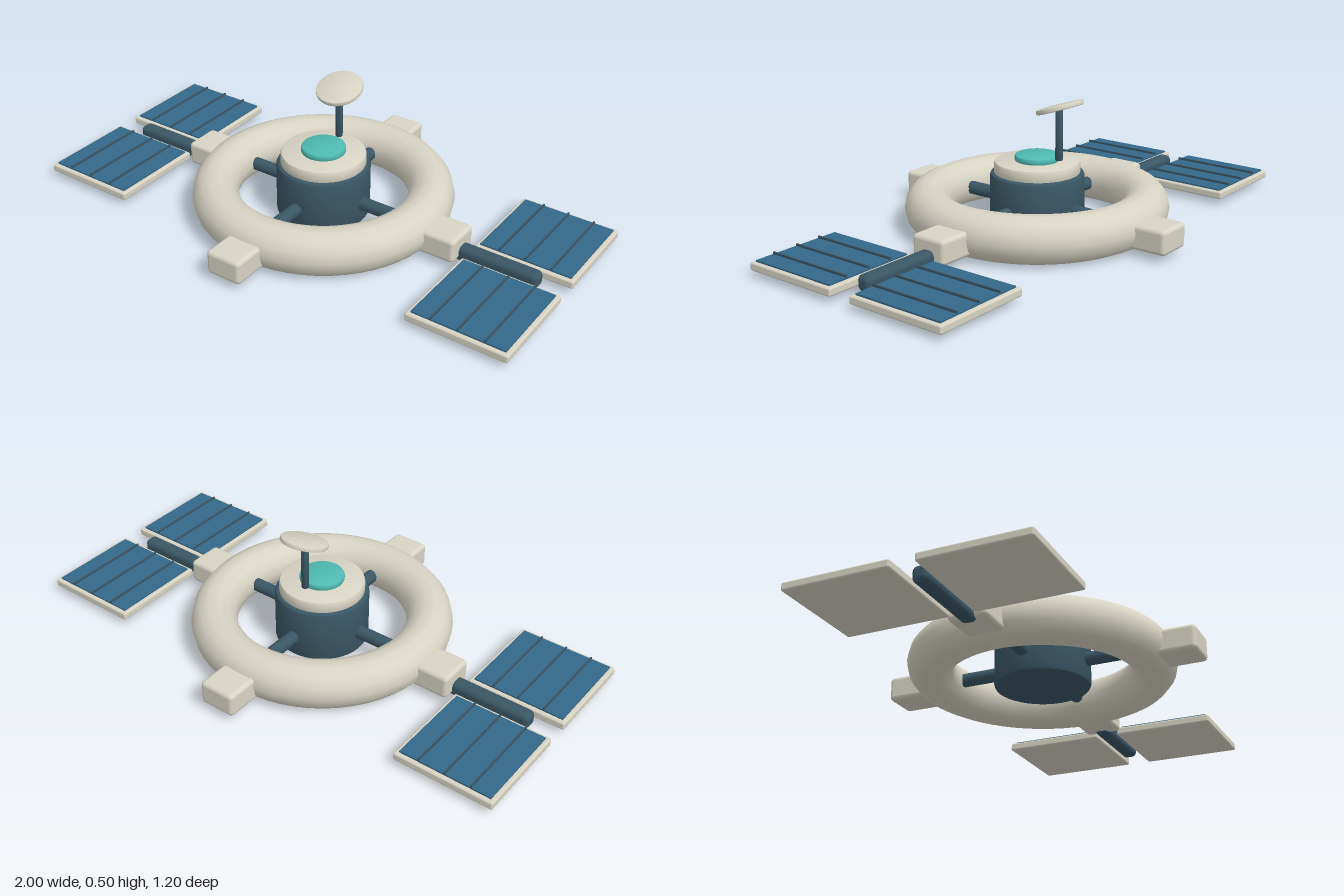
import * as THREE from 'three';
import { RoundedBoxGeometry } from 'three/addons/geometries/RoundedBoxGeometry.js';
import { toCreasedNormals } from 'three/addons/utils/BufferGeometryUtils.js';

const material = (color) => new THREE.MeshStandardMaterial({ color });

// Solid disc or drum around y, from y0 to y1, with bevelled rims
function drum(r, y0, y1, bevel, sides = 40) {
  const profile = [
    [0, y0], [r - bevel, y0], [r - bevel * 0.3, y0 + bevel * 0.3], [r, y0 + bevel],
    [r, y1 - bevel], [r - bevel * 0.3, y1 - bevel * 0.3], [r - bevel, y1], [0, y1],
  ].map(([x, y]) => new THREE.Vector2(x, y));
  return toCreasedNormals(new THREE.LatheGeometry(profile, sides), 0.6);
}

export function createModel() {
  const model = new THREE.Group();
  model.name = 'spaceStation';
  const cream = material(0xd8d4c4);
  const dark = material(0x3a5665);
  const blue = material(0x35688a);
  const teal = material(0x4fbab2);

  function add(name, geometry, mat, x = 0, y = 0, z = 0, parent = model) {
    const mesh = new THREE.Mesh(geometry, mat);
    mesh.name = name;
    mesh.position.set(x, y, z);
    parent.add(mesh);
    return mesh;
  }

  // Habitat ring
  const ring = new THREE.TorusGeometry(0.402, 0.0865, 14, 56).rotateX(Math.PI / 2);
  add('habitatRing', ring, cream, 0, 0.0875, 0);

  // Central hub, its cap and the window on top
  add('hub', drum(0.175, 0.005, 0.212, 0.014), dark);
  add('hubCap', drum(0.159, 0.2, 0.255, 0.012), cream);
  add('hubWindow', drum(0.083, 0.25, 0.277, 0.008), teal);

  // Four spokes and four docking blocks around the ring
  const spoke = new THREE.CapsuleGeometry(0.025, 0.16, 5, 16).rotateZ(Math.PI / 2);
  const dock = new RoundedBoxGeometry(0.15, 0.092, 0.142, 3, 0.016);
  for (let i = 0; i < 4; i++) {
    const arm = new THREE.Group();
    arm.name = 'ringArm' + (i + 1);
    arm.rotation.y = (i * Math.PI) / 2;
    add('spoke', spoke, dark, 0.24, 0.0875, 0, arm);
    add('dockingBlock', dock, cream, 0.523, 0.074, 0, arm);
    model.add(arm);
  }

  // Antenna mast with a tilted dish
  add('antennaMast', drum(0.014, 0.268, 0.46, 0.006, 16), dark, 0, 0, -0.1);
  const dish = add('antennaDish', drum(0.088, -0.009, 0.009, 0.006), cream, 0, 0.467, -0.102);
  dish.rotation.x = 0.32;

  // Solar wings: a boom with two panels on each side
  const boom = new RoundedBoxGeometry(0.34, 0.058, 0.058, 4, 0.02);
  const frame = new RoundedBoxGeometry(0.38, 0.03, 0.382, 2, 0.007);
  const cells = new THREE.BoxGeometry(0.35, 0.012, 0.35);
  const divider = new THREE.BoxGeometry(0.006, 0.012, 0.35);
  for (const sx of [-1, 1]) {
    const wing = new THREE.Group();
    wing.name = sx > 0 ? 'leftWing' : 'rightWing';
    add('boom', boom, dark, sx * 0.73, 0.047, 0, wing);
    for (const sz of [-1, 1]) {
      const panel = new THREE.Group();
      panel.name = sz > 0 ? 'frontPanel' : 'backPanel';
      panel.position.set(sx * 0.81, 0, sz * 0.234);
      add('panelFrame', frame, cream, 0, 0.04, 0, panel);
      add('solarCells', cells, blue, 0, 0.055, 0, panel);
      for (const dx of [-0.1, 0, 0.1]) add('cellDivider', divider, dark, dx, 0.063, 0, panel);
      wing.add(panel);
    }
    model.add(wing);
  }
  return model;
}
